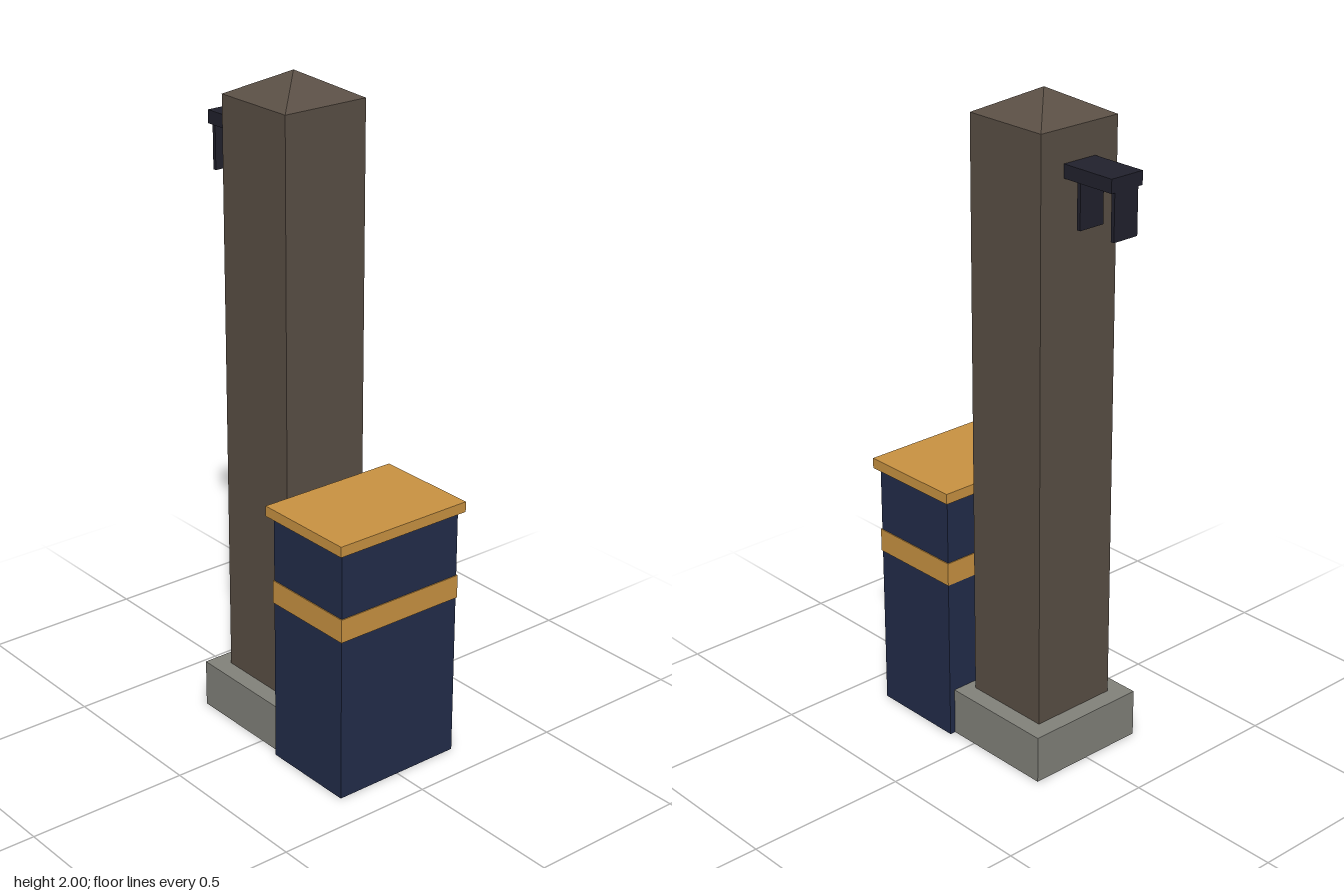
import * as THREE from 'three';

export function createModel() {
  const model = new THREE.Group();
  model.name = 'postWithCabinet';

  const mat = (name, color) => {
    const m = new THREE.MeshStandardMaterial({ color });
    m.name = name;
    return m;
  };
  const wood = mat('brownWood', 0x5a4f45);
  const stone = mat('greyStone', 0x82827b);
  const navy = mat('navyPaint', 0x222c4a);
  const gold = mat('goldTrim', 0xca9342);
  const iron = mat('darkIron', 0x21212d);
  stone.side = THREE.DoubleSide; // the plinth is an open shell

  const add = (parent, name, geometry, material) => {
    const mesh = new THREE.Mesh(geometry, material);
    mesh.name = name;
    parent.add(mesh);
    return mesh;
  };
  // Box given by its min and max on each axis
  const box = (parent, name, material, [x0, x1], [y0, y1], [z0, z1]) => {
    const g = new THREE.BoxGeometry(x1 - x0, y1 - y0, z1 - z0);
    g.translate((x0 + x1) / 2, (y0 + y1) / 2, (z0 + z1) / 2);
    return add(parent, name, g, material);
  };

  const postZ = -0.085;

  // Plinth: box shell without its bottom face (faces run +x, -x, +y, -y, +z, -z)
  const plinth = box(model, 'plinth', stone, [-0.195, 0.195], [0, 0.147], [postZ - 0.195, postZ + 0.195]);
  const index = Array.from(plinth.geometry.index.array);
  index.splice(18, 6);
  plinth.geometry.setIndex(index);
  plinth.geometry.clearGroups();

  // Square post with a pyramid cap
  box(model, 'post', wood, [-0.14, 0.14], [0.143, 1.927], [postZ - 0.14, postZ + 0.14]);
  const cap = new THREE.ConeGeometry(0.14 * Math.SQRT2, 0.073, 4, 1, true).toNonIndexed();
  cap.rotateY(Math.PI / 4);
  cap.computeVertexNormals();
  cap.translate(0, 1.9635, postZ);
  add(model, 'postCap', cap, wood);

  // Cabinet in front of the post
  const cabinet = new THREE.Group();
  cabinet.name = 'cabinet';
  model.add(cabinet);
  box(cabinet, 'cabinetBody', navy, [-0.213, 0.213], [0, 0.784], [0.087, 0.389]);
  box(cabinet, 'cabinetBand', gold, [-0.216, 0.216], [0.508, 0.58], [0.084, 0.392]);
  box(cabinet, 'cabinetLid', gold, [-0.229, 0.229], [0.782, 0.814], [0.07, 0.404]);

  // Bracket on the back of the post with two hanging plates
  const bracket = new THREE.Group();
  bracket.name = 'bracket';
  model.add(bracket);
  box(bracket, 'bracketArm', iron, [-0.057, 0.057], [1.79, 1.83], [-0.404, -0.22]);
  for (const z of [-0.268, -0.396]) {
    box(bracket, 'hangingPlate', iron, [-0.043, 0.043], [1.652, 1.792], [z - 0.006, z + 0.006]);
  }

  return model;
}
